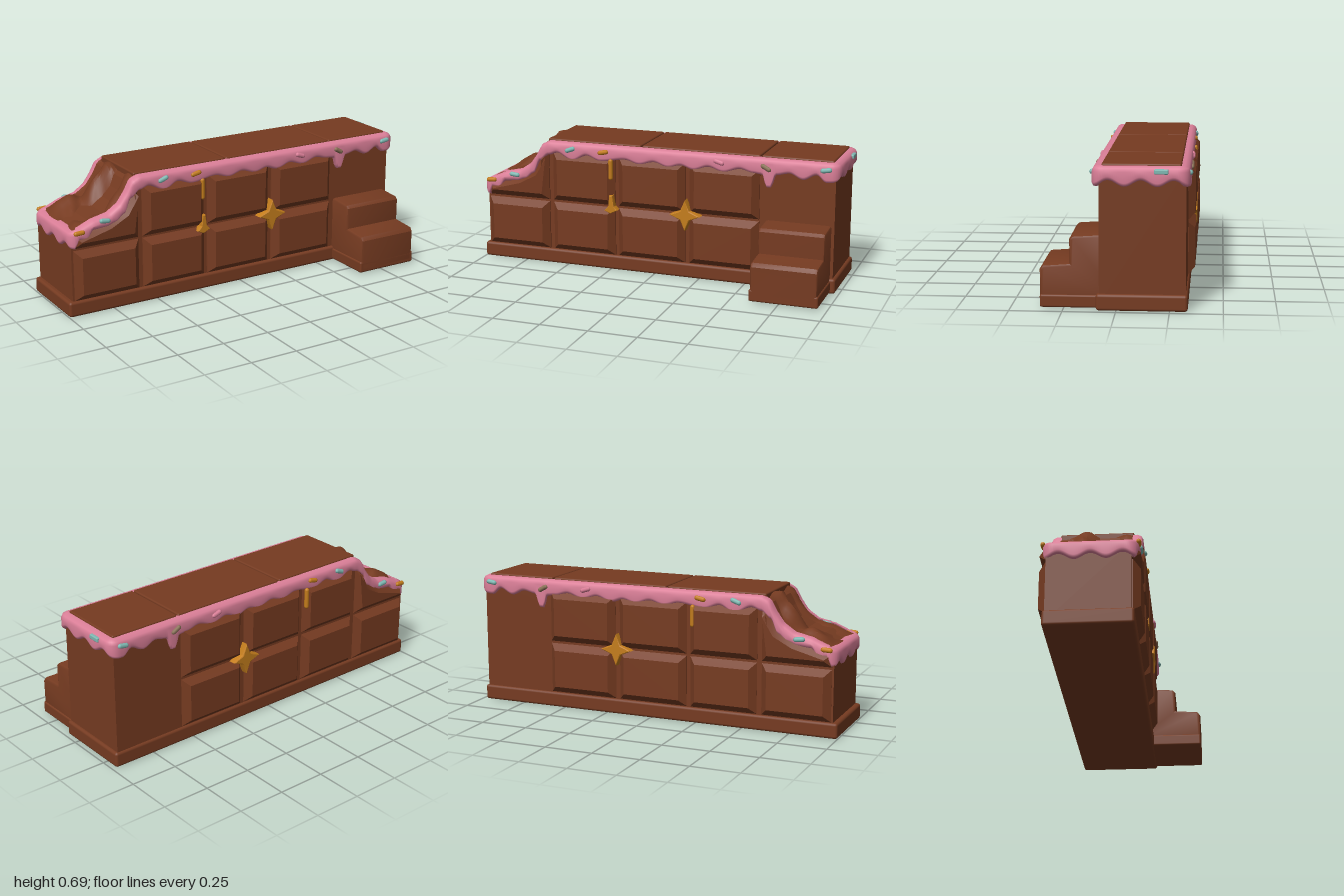
import * as THREE from 'three';
import { toCreasedNormals } from 'three/addons/utils/BufferGeometryUtils.js';
import { RoundedBoxGeometry } from 'three/addons/geometries/RoundedBoxGeometry.js';

const mat = (name, color, side = THREE.FrontSide) => {
  const m = new THREE.MeshStandardMaterial({ color, side });
  m.name = name;
  return m;
};

// body limits in z
const FRONT = 0.08, BACK = -0.325, MID = (FRONT + BACK) / 2;

// height along x of the bitten top edge, and of the scalloped lower edge of the icing
const TOP = [[-1, 0.45], [-0.93, 0.465], [-0.86, 0.495], [-0.77, 0.515], [-0.71, 0.555],
  [-0.67, 0.61], [-0.64, 0.665], [-0.6, 0.685], [1, 0.685]];
const DRIP = [[-1, 0.35], [-0.965, 0.36], [-0.94, 0.405], [-0.9, 0.4], [-0.86, 0.445], [-0.79, 0.45],
  [-0.74, 0.465], [-0.69, 0.5], [-0.65, 0.575], [-0.6, 0.61], [-0.55, 0.625], [-0.46, 0.587],
  [-0.38, 0.622], [-0.3, 0.597], [-0.16, 0.617], [-0.08, 0.597], [0, 0.617], [0.08, 0.595],
  [0.15, 0.612], [0.22, 0.593], [0.3, 0.617], [0.38, 0.595], [0.47, 0.62], [0.54, 0.604], [0.59, 0.6],
  [0.612, 0.535], [0.632, 0.535], [0.66, 0.604], [0.73, 0.617], [0.8, 0.59], [0.87, 0.62],
  [0.92, 0.585], [1, 0.59]];

function sample(points, x, ease) {
  for (let i = 1; i < points.length; i++) {
    const [x0, y0] = points[i - 1], [x1, y1] = points[i];
    if (x <= x1) {
      let t = Math.max(0, (x - x0) / (x1 - x0));
      if (ease) t = t * t * (3 - 2 * t);
      return y0 + (y1 - y0) * t;
    }
  }
  return points.at(-1)[1];
}
const topAt = x => sample(TOP, x, false);

const shapeOf = pts => new THREE.Shape(pts.map(p => new THREE.Vector2(...p)));

// chamfered slab with the given outline, centred on z = 0
function slab(pts, depth, bevel, size = bevel, segments = 1) {
  const g = new THREE.ExtrudeGeometry(shapeOf(pts), {
    depth, bevelThickness: bevel, bevelSize: size, bevelOffset: -size, bevelSegments: segments,
  });
  g.translate(0, 0, -depth / 2);
  return toCreasedNormals(g, 0.5);
}

// icing ribbon: a rounded cross-section swept around the top edge
function icingGeometry() {
  const X = 0.99, zf = 0.113, zb = -0.343, r = 0.05, path = [];
  const line = (x0, z0, x1, z1, nx, nz, n) => {
    for (let i = 0; i <= n; i++) path.push([x0 + (x1 - x0) * i / n, z0 + (z1 - z0) * i / n, nx, nz]);
  };
  const corner = (cx, cz, a0) => {
    for (let i = 1; i < 6; i++) {
      const a = a0 + i * Math.PI / 12;
      path.push([cx + r * Math.cos(a), cz - r * Math.sin(a), Math.cos(a), -Math.sin(a)]);
    }
  };
  line(-X + r, zf, X - r, zf, 0, 1, 190);
  corner(X - r, zf - r, -Math.PI / 2);
  line(X, zf - r, X, zb + r, 1, 0, 36);
  corner(X - r, zb + r, 0);
  line(X - r, zb, -X + r, zb, 0, -1, 190);
  corner(-X + r, zb + r, Math.PI / 2);
  line(-X, zb + r, -X, zf - r, -1, 0, 36);
  corner(-X + r, zf - r, Math.PI);
  const pos = [], idx = [];
  path.forEach(([x, z, nx, nz]) => {
    const t = topAt(x);
    let b = sample(DRIP, x, true);
    if (Math.abs(x) > X - r) b += 0.015 * (1 - Math.cos(6 * Math.PI * (z - zb) / (zf - zb)));
    const section = [[0.05, t], [0.025, t], [0.008, t - 0.009], [0, t - 0.025],
      [0, b + 0.018], [0.006, b + 0.005], [0.018, b], [0.045, b + 0.006]];
    section.forEach(([o, y]) => pos.push(x - nx * o, y, z - nz * o));
  });
  const K = 8, N = path.length;
  for (let i = 0; i < N; i++) for (let j = 0; j < K - 1; j++) {
    const a = i * K + j, d = ((i + 1) % N) * K + j;
    idx.push(a, a + 1, d + 1, a, d + 1, d);
  }
  const g = new THREE.BufferGeometry();
  g.setAttribute('position', new THREE.Float32BufferAttribute(pos, 3));
  g.setIndex(idx);
  g.computeVertexNormals();
  return g;
}

// lumpy surface left where the corner was bitten away
function biteGeometry() {
  const g = new THREE.PlaneGeometry(0.4, 0.39, 24, 20);
  g.rotateX(-Math.PI / 2);
  g.translate(-0.77, 0, MID);
  const p = g.attributes.position;
  const bump = (x, z, cx, cz, s) => Math.exp(-((x - cx) ** 2 + (z - cz) ** 2) / (s * s));
  for (let i = 0; i < p.count; i++) {
    const x = p.getX(i), z = p.getZ(i);
    const w = Math.min(1, (0.195 - Math.abs(z - MID)) / 0.05, (x + 0.97) / 0.05);
    const lumps = 0.045 * bump(x, z, -0.86, -0.25, 0.06) + 0.05 * bump(x, z, -0.71, -0.18, 0.06)
      - 0.03 * bump(x, z, -0.8, -0.06, 0.08) + 0.008 * Math.sin(x * 60 + z * 25);
    p.setY(i, Math.min(0.69, topAt(x + w * 0.02 * Math.sin(z * 28)) + w * lumps - 0.008));
  }
  return toCreasedNormals(g, 0.5);
}

export function createModel() {
  const chocolate = mat('chocolate', 0x763b21);
  const pink = mat('pinkIcing', 0xdb7f98, THREE.DoubleSide);
  const caramel = mat('caramel', 0xc47d1c);
  const teal = mat('tealSprinkle', 0x7fb9b3);
  const olive = mat('oliveSprinkle', 0x8c7458);

  const model = new THREE.Group();
  model.name = 'chocolateWall';
  const add = (name, geo, material, x = 0, y = 0, z = 0) => {
    const m = new THREE.Mesh(geo, material);
    m.name = name;
    m.position.set(x, y, z);
    model.add(m);
    return m;
  };

  // plinth and wall body
  add('base', new RoundedBoxGeometry(1.98, 0.08, 0.43, 2, 0.014), chocolate, -0.01, 0.042, -0.12);
  const outline = [[-0.975, 0.03], [0.965, 0.03], [0.965, 0.67],
    ...TOP.slice(1, -1).reverse().map(([x, y]) => [x, y - 0.015]), [-0.975, 0.435]];
  const body = new THREE.ExtrudeGeometry(shapeOf(outline), { depth: FRONT - BACK, bevelEnabled: false });
  add('body', body, chocolate, 0, 0, BACK);
  add('bittenTop', biteGeometry(), chocolate);

  // top slabs with narrow seams
  [[-0.615, -0.084], [-0.076, 0.566], [0.574, 0.95]].forEach(([a, b]) =>
    add('topSlab', new RoundedBoxGeometry(b - a, 0.04, 0.37, 2, 0.008), chocolate, (a + b) / 2, 0.674, -0.117));

  // raised chocolate squares on front and back
  const columns = [[-0.965, -0.605], [-0.58, -0.222], [-0.202, 0.172], [0.195, 0.572]];
  const rows = [[0.085, 0.348], [0.36, 0.625]];
  columns.forEach(([a, b], c) => rows.forEach(([lo, hi], r) => {
    const pts = c === 0 && r === 1
      ? [[a, lo], [b, lo], [b, 0.62], [-0.635, 0.615], [-0.695, 0.52], [-0.78, 0.475], [a, 0.425]]
      : [[a, lo], [b, lo], [b, hi], [a, hi]];
    const geo = slab(pts, 0.01, 0.034);
    add('frontSquare', geo, chocolate, 0, 0, FRONT + 0.001);
    add('backSquare', geo, chocolate, 0, 0, BACK + 0.004);
  }));

  // steps, drawn in side profile and extruded across
  const steps = slab([[-0.05, 0.005], [0.35, 0.014], [0.36, 0.03], [0.36, 0.19], [0.345, 0.21], [0.22, 0.22],
    [0.22, 0.335], [0.205, 0.35], [0.06, 0.36], [-0.05, 0.36]], 0.315, 0.015, 0.012, 2);
  steps.rotateY(-Math.PI / 2);
  add('steps', steps, chocolate, 0.777, 0, 0);
  add('stepBase', new RoundedBoxGeometry(0.357, 0.062, 0.3, 2, 0.01), chocolate, 0.777, 0.04, 0.21);

  add('icing', icingGeometry(), pink);

  // sprinkles, repeated on both long sides
  const bar = new THREE.CapsuleGeometry(0.0125, 0.035, 3, 8).rotateZ(Math.PI / 2);
  [[-0.94, 0.447, teal, 0.05, caramel], [-0.8, 0.487, teal, -0.1, teal], [-0.47, 0.65, teal, 0.35, teal],
    [-0.28, 0.65, caramel, 0.2, caramel], [0.36, 0.65, pink, -0.3, pink], [0.61, 0.64, olive, -0.5, olive],
    [0.92, 0.652, teal, 0.15, teal]].forEach(([x, y, , turn, color]) =>
    [0.112, -0.342].forEach(z => { add('sprinkle', bar, color, x, y, z).rotation.z = turn; }));
  add('endSprinkle', new RoundedBoxGeometry(0.02, 0.024, 0.066, 2, 0.006), teal, 0.988, 0.663, -0.21);

  // caramel stars and drips
  const star = Array.from({ length: 8 }, (_, i) => {
    const r = i % 2 ? 0.036 : 0.084, a = i * Math.PI / 4;
    return [r * Math.cos(a), r * Math.sin(a)];
  });
  const starGeo = slab(star, 0.04, 0.008, 0.006, 2);
  const dripGeo = new THREE.CapsuleGeometry(0.0125, 0.09, 4, 10);
  [0.098, -0.335].forEach(z => {
    add('caramelStar', starGeo, caramel, 0.18, 0.35, z);
    add('caramelDrip', dripGeo, caramel, -0.24, 0.56, z + Math.sign(z) * 0.008);
  });
  add('caramelSplat', slab([[-0.035, -0.015], [0, -0.03], [0.04, -0.01], [0.02, 0.01], [0.012, 0.07],
    [-0.006, 0.07], [-0.012, 0.01]], 0.03, 0.006, 0.004, 2), caramel, -0.24, 0.35, 0.098);

  return model;
}
